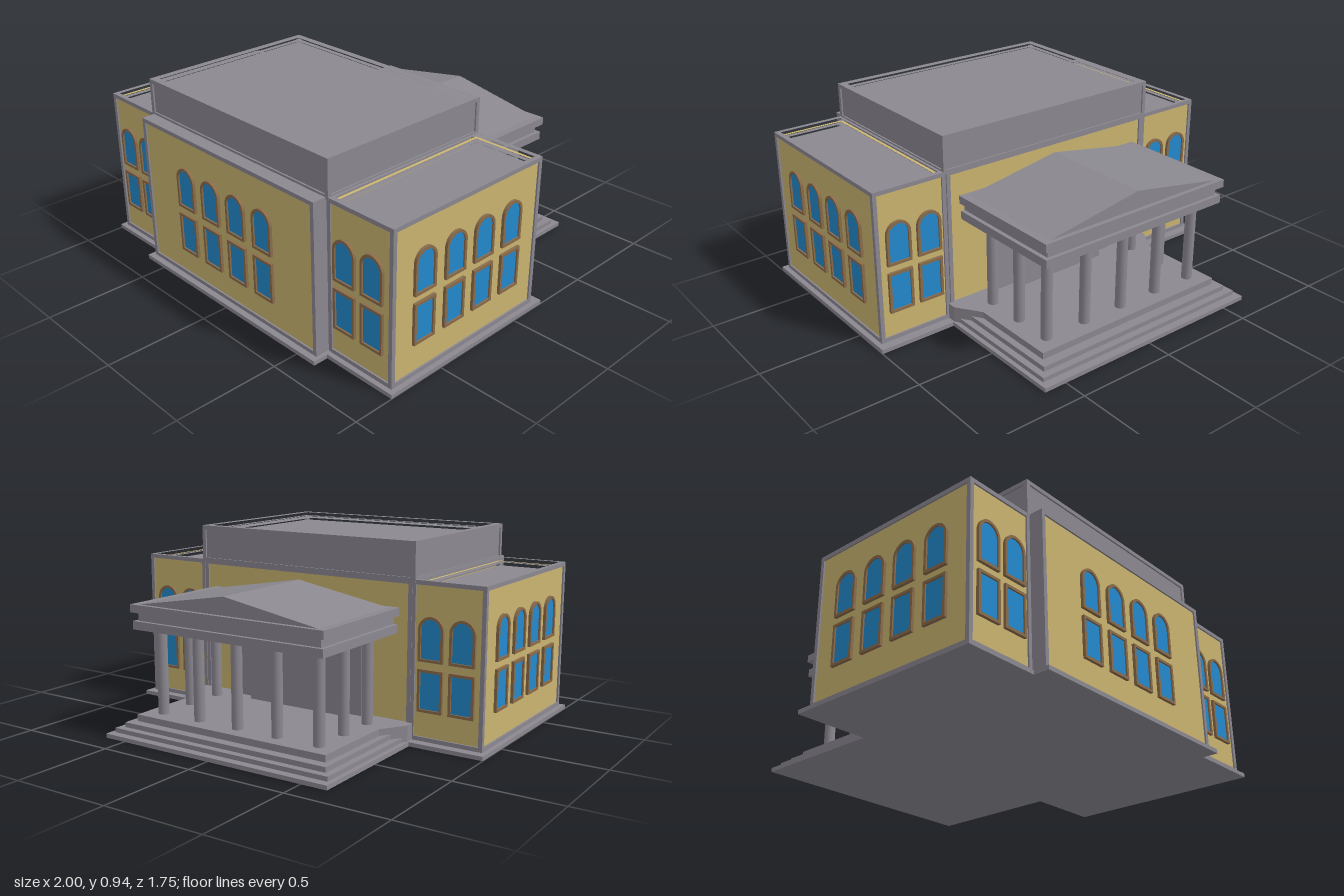
import * as THREE from 'three';

const mat = (name, color) => {
  const m = new THREE.MeshStandardMaterial({ color });
  m.name = name;
  return m;
};

export function createModel() {
  const stone = mat('grey stone', 0x8b8890);
  const wall = mat('sand wall', 0xcab470);
  const glass = mat('blue glass', 0x2389cd);
  const trim = mat('brown window frame', 0x8a6b4a);

  const root = new THREE.Group();
  root.name = 'building';
  const CX = -0.007; // centre line of the main hall and porch

  const add = (name, geo, material, parent = root) => {
    const m = new THREE.Mesh(geo, material);
    m.name = name;
    parent.add(m);
    return m;
  };
  const box = (name, x0, x1, y0, y1, z0, z1, material, parent) => {
    const g = new THREE.BoxGeometry(x1 - x0, y1 - y0, z1 - z0);
    g.translate((x0 + x1) / 2, (y0 + y1) / 2, (z0 + z1) / 2);
    return add(name, g, material, parent);
  };
  // Vertical prism from a plan outline of [x, z] points
  const plan = (pts) => pts.map(([x, z]) => new THREE.Vector2(x, -z));
  const rect = (x0, x1, z0, z1) => [[x0, z0], [x1, z0], [x1, z1], [x0, z1]];
  const prism = (name, pts, hole, y0, y1, material, parent) => {
    const s = new THREE.Shape(plan(pts));
    if (hole) s.holes.push(new THREE.Path(plan(hole)));
    const g = new THREE.ExtrudeGeometry(s, { depth: y1 - y0, bevelEnabled: false });
    g.rotateX(-Math.PI / 2).translate(0, y0, 0);
    return add(name, g, material, parent);
  };
  const ring = (name, [x0, x1, z0, z1], inset, w, y0, y1, material, parent) => {
    const r = (d) => rect(x0 + d, x1 - d, z0 + d, z1 - d);
    prism(name, r(inset), r(w), y0, y1, material, parent);
  };

  // Walled block: recessed walls, corner posts, bands and a sunken roof
  const T = 0.008, POST = 0.02;
  function block(name, b, y0, y1, wallMat, rimW, ledgeW) {
    const g = new THREE.Group();
    g.name = name;
    root.add(g);
    const [x0, x1, z0, z1] = b;
    ring('walls', b, T, rimW, y0, y1 - POST, wallMat, g);
    ring('topBand', b, 0, rimW, y1 - POST, y1, stone, g);
    ring('bottomBand', b, 0, rimW, y0, y0 + POST, stone, g);
    for (const x of [x0, x1 - POST]) for (const z of [z0, z1 - POST]) {
      box('cornerPost', x, x + POST, y0 + POST, y1 - POST, z, z + POST, stone, g);
    }
    ring('roofLedge', b, rimW, rimW + ledgeW, y1 - 0.06, y1 - 0.022, stone, g);
    box('roof', x0 + rimW, x1 - rimW, y1 - 0.06, y1 - 0.042, z0 + rimW, z1 - rimW, stone, g);
  }

  // Ground slabs
  box('wingSlab', -1, 1, 0, 0.02, -0.2, 0.8, stone);
  box('hallSlab', -0.63, 0.615, 0, 0.0205, -0.88, 0.875, stone);

  // Main hall, upper storey and the two wings
  const hall = [CX - 0.603, CX + 0.603, -0.156, 0.845];
  block('mainHall', hall, 0.02, 0.765, wall, 0.03, 0.03);
  for (const s of [-1, 1]) {
    const x = CX + s * 0.598;
    box('facadeReturn', x - 0.005, x + 0.005, 0.02, 0.764, 0.76, 0.844, stone);
  }
  box('hallCap', CX - 0.602, CX + 0.602, 0.72, 0.764, -0.12, 0.83, stone);
  block('upperStorey', [CX - 0.618, CX + 0.618, -0.157, 0.778], 0.755, 0.94, stone, 0.036, 0.08);
  block('rightWing', [-0.975, -0.608, -0.155, 0.776], 0.02, 0.767, wall, 0.024, 0.026);
  block('leftWing', [0.6, 0.975, -0.155, 0.776], 0.02, 0.767, wall, 0.024, 0.026);

  // Windows: a flat-topped one below an arched one
  const outline = (w, h, arched, d) => {
    const s = new THREE.Shape();
    const r = w / 2 - d;
    s.moveTo(-r, d);
    s.lineTo(r, d);
    if (arched) s.absarc(0, h - w / 2, r, 0, Math.PI, false);
    else { s.lineTo(r, h - d); s.lineTo(-r, h - d); }
    s.closePath();
    return s;
  };
  const solid = (s, depth) => new THREE.ExtrudeGeometry(s, { depth, bevelEnabled: false, curveSegments: 12 });
  const parts = [false, true].map((arched) => {
    const h = arched ? 0.21 : 0.2;
    const frame = outline(0.126, h, arched, 0);
    frame.holes.push(outline(0.126, h, arched, 0.013));
    return { frame: solid(frame, 0.014), pane: solid(outline(0.126, h, arched, 0.012), 0.006) };
  });
  function windowPair(x, y, z, turn) {
    const g = new THREE.Group();
    g.name = 'windowPair';
    parts.forEach((p, i) => {
      add('windowFrame', p.frame, trim, g).position.y = i * 0.236;
      add('windowPane', p.pane, glass, g).position.y = i * 0.236;
    });
    g.position.set(x, y, z);
    g.rotation.y = turn;
    root.add(g);
  }
  for (const x of [-0.29, -0.107, 0.075, 0.257]) windowPair(x, 0.16, 0.845 - T, 0);
  for (const x of [-0.866, -0.709, 0.698, 0.858]) {
    windowPair(x, 0.16, 0.776 - T, 0);
    windowPair(x, 0.16, -0.155 + T, Math.PI);
  }
  for (const z of [0.587, 0.402, 0.22, 0.035]) for (const s of [-1, 1]) {
    windowPair(s * (0.975 - T), 0.174, z, s * Math.PI / 2);
  }

  // Porch at the rear
  const porch = new THREE.Group();
  porch.name = 'porch';
  porch.position.x = CX;
  root.add(porch);
  box('lowerStep', -0.6, 0.6, 0.02, 0.042, -0.84, -0.15, stone, porch);
  box('middleStep', -0.568, 0.568, 0.04, 0.066, -0.805, -0.15, stone, porch);
  prism('porchFloor', [[-0.535, -0.757], [0.535, -0.757], [0.535, -0.32], [0.615, -0.2],
    [0.615, -0.15], [-0.615, -0.15], [-0.615, -0.2], [-0.535, -0.32]], null, 0.02, 0.098, stone, porch);

  // Columns along the rear edge and down both sides
  const column = new THREE.CylinderGeometry(0.026, 0.026, 0.42, 20);
  const spots = [-0.445, -0.2225, 0, 0.2225, 0.445].map((x) => [x, -0.67]);
  for (const x of [-0.445, 0.445]) for (const z of [-0.475, -0.275]) spots.push([x, z]);
  for (const [x, z] of spots) add('column', column, stone, porch).position.set(x, 0.305, z);

  // Stepped door surround on the back wall
  box('doorSurround', -0.36, 0.36, 0.09, 0.48, -0.19, -0.14, stone, porch);
  box('doorway', -0.26, 0.26, 0.09, 0.42, -0.235, -0.18, stone, porch);

  // Layered entablature and gable roof
  box('lowerCornice', -0.53, 0.53, 0.513, 0.553, -0.77, -0.155, stone, porch);
  box('frieze', -0.51, 0.51, 0.55, 0.596, -0.752, -0.155, stone, porch);
  box('upperCornice', -0.538, 0.538, 0.594, 0.632, -0.777, -0.155, stone, porch);
  const gable = new THREE.Shape([[-0.51, 0.63], [0.51, 0.63], [0, 0.717]].map((p) => new THREE.Vector2(...p)));
  const gableGeo = new THREE.ExtrudeGeometry(gable, { depth: 0.573, bevelEnabled: false });
  add('gableRoof', gableGeo.translate(0, 0, -0.755), stone, porch);

  return root;
}
